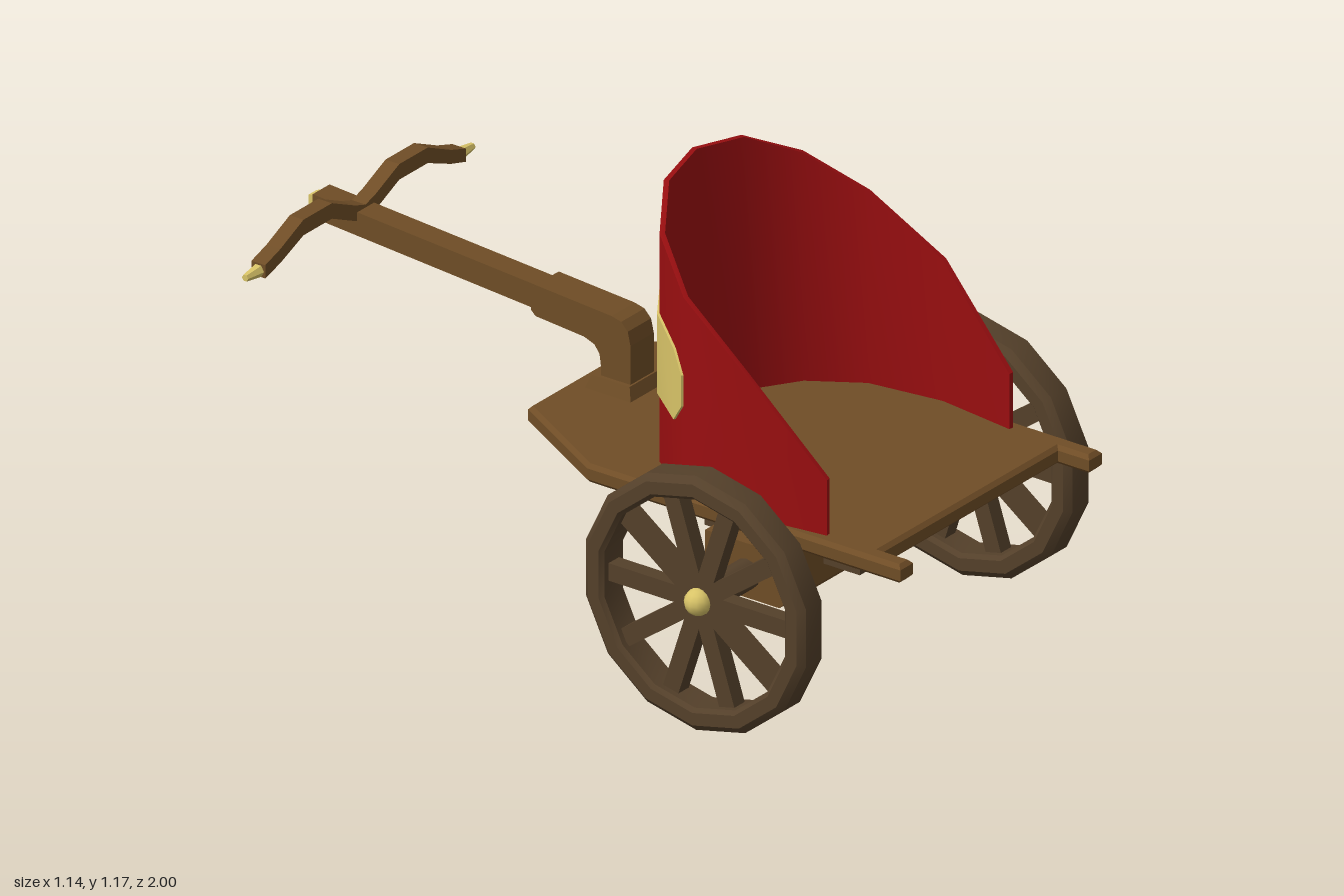
import * as THREE from 'three';
import { toCreasedNormals } from 'three/addons/utils/BufferGeometryUtils.js';

const material = (color) => new THREE.MeshStandardMaterial({ color });
const wood = material(0x6f4d26);
const darkWood = material(0x54402a);
const red = material(0x990e10);
const gold = material(0xd9c468);

function add(parent, name, geometry, mat, x = 0, y = 0, z = 0) {
  const mesh = new THREE.Mesh(geometry, mat);
  mesh.name = name;
  mesh.position.set(x, y, z);
  parent.add(mesh);
  return mesh;
}

const shapeOf = (points) => new THREE.Shape(points.map(([a, b]) => new THREE.Vector2(a, b)));

// Side profile of [z, y] points, extruded across x and centred
function sidePrism(points, width) {
  const g = new THREE.ExtrudeGeometry(shapeOf(points), { depth: width, bevelEnabled: false });
  return g.rotateY(-Math.PI / 2).translate(width / 2, 0, 0);
}

// Four-sided tapered block, standing along y
function taperedBlock(halfTop, halfBottom, height) {
  const g = new THREE.CylinderGeometry(halfTop * Math.SQRT2, halfBottom * Math.SQRT2, height, 4, 1);
  return toCreasedNormals(g.rotateY(Math.PI / 4), 0.5);
}

// Upright curved sheet; columns are [x, z, bottom, top] from the middle to the left end, mirrored
function curvedSheet(half, inner, outer) {
  const cols = [...half.slice(1).reverse().map(([x, ...rest]) => [-x, ...rest]), ...half];
  const n = cols.length;
  const positions = [];
  const index = [];
  cols.forEach(([x, z, bottom, top], i) => {
    const a = cols[Math.max(i - 1, 0)];
    const b = cols[Math.min(i + 1, n - 1)];
    const out = new THREE.Vector2(b[1] - a[1], a[0] - b[0]).normalize();
    for (const [d, y] of [[outer, bottom], [outer, top], [inner, top], [inner, bottom]]) {
      positions.push(x + out.x * d, y, z + out.y * d);
    }
  });
  const quad = (a, b, c, d) => index.push(a, b, c, a, c, d);
  for (let i = 0; i < n - 1; i++) {
    for (let k = 0; k < 4; k++) {
      const p = i * 4;
      const k2 = (k + 1) % 4;
      quad(p + k, p + k2, p + 4 + k2, p + 4 + k);
    }
  }
  quad(3, 2, 1, 0);
  const e = (n - 1) * 4;
  quad(e, e + 1, e + 2, e + 3);
  const g = new THREE.BufferGeometry();
  g.setAttribute('position', new THREE.Float32BufferAttribute(positions, 3));
  g.setIndex(index);
  return toCreasedNormals(g, 0.7);
}

function makeWheel(side) {
  const wheel = new THREE.Group();
  wheel.name = side > 0 ? 'leftWheel' : 'rightWheel';
  wheel.position.set(side * 0.515, 0.327, 0.52);

  // Rim with chamfered edges
  const profile = [
    [0.268, -0.035], [0.278, -0.045], [0.31, -0.045], [0.327, -0.03],
    [0.327, 0.03], [0.31, 0.045], [0.278, 0.045], [0.268, 0.035], [0.268, -0.035],
  ].map(([r, y]) => new THREE.Vector2(r, y));
  const rim = new THREE.LatheGeometry(profile, 14).rotateX(Math.PI / 14 * 7).rotateY(Math.PI / 2);
  add(wheel, 'rim', toCreasedNormals(rim, 0.6), darkWood);

  // Spokes
  for (let i = 0; i < 10; i++) {
    const spoke = new THREE.BoxGeometry(0.04, 0.26, 0.045).translate(0, 0.15, 0);
    add(wheel, 'spoke', spoke, darkWood).rotation.x = (i + 0.5) * Math.PI / 5;
  }

  // Hub cap
  add(wheel, 'hubCap', new THREE.SphereGeometry(0.034, 12, 8), gold, side * 0.022);
  return wheel;
}

export function createModel() {
  const chariot = new THREE.Group();
  chariot.name = 'chariot';

  // Floor with a tapered rear and two short prongs at the open end
  const halfFloor = [[0.215, -0.2], [0.38, 0.09], [0.38, 0.985], [0.35, 0.985], [0.35, 0.895]];
  const outline = [...halfFloor, ...halfFloor.map(([x, z]) => [-x, z]).reverse()];
  const floor = new THREE.ExtrudeGeometry(shapeOf(outline), {
    depth: 0.028, bevelThickness: 0.01, bevelSize: 0.01, bevelSegments: 1,
  });
  add(chariot, 'floor', floor.rotateX(Math.PI / 2), wood, 0, 0.488, 0);

  // Curved body wall
  const wall = [
    [0, 0.1, 0.49, 1.167], [0.15, 0.13, 0.49, 1.15], [0.277, 0.213, 0.49, 1.085],
    [0.36, 0.345, 0.49, 0.99], [0.388, 0.545, 0.49, 0.86], [0.36, 0.76, 0.49, 0.64],
  ];
  add(chariot, 'bodyWall', curvedSheet(wall, -0.013, 0), red);

  // Pale band around the outside of the wall
  const band = [
    [0, 0.1, 0.7, 0.935], [0.15, 0.13, 0.693, 0.92], [0.277, 0.213, 0.675, 0.88],
    [0.333, 0.302, 0.655, 0.838], [0.359, 0.344, 0.71, 0.79],
  ];
  add(chariot, 'wallBand', curvedSheet(band, -0.004, 0.006), gold);

  // Axle, beam and floor bearers
  const axle = new THREE.CylinderGeometry(0.038, 0.038, 1.07, 12).rotateZ(Math.PI / 2);
  add(chariot, 'axle', axle, darkWood, 0, 0.327, 0.52);
  const beam = [
    [0.4, 0.405], [0.4, 0.29], [0.425, 0.265], [0.615, 0.265], [0.64, 0.29], [0.64, 0.405],
  ];
  add(chariot, 'axleBeam', sidePrism(beam, 0.7), wood);
  add(chariot, 'beamBlock', new THREE.BoxGeometry(0.3, 0.07, 0.28), wood, 0, 0.39, 0.52);
  for (const x of [-0.177, 0, 0.177]) {
    add(chariot, 'floorBearer', new THREE.BoxGeometry(0.072, 0.125, 0.45), darkWood, x, 0.397, 0.52);
  }

  // Wheels
  for (const side of [1, -1]) chariot.add(makeWheel(side));

  // Draught pole with its bent socket
  add(chariot, 'poleBase', taperedBlock(0.055, 0.067, 0.035), wood, 0, 0.513, -0.095);
  const socket = [
    [-0.045, 0.52], [-0.045, 0.63], [-0.053, 0.665], [-0.072, 0.685], [-0.1, 0.692],
    [-0.32, 0.708], [-0.333, 0.698], [-0.333, 0.64], [-0.32, 0.628], [-0.18, 0.616],
    [-0.15, 0.605], [-0.135, 0.585], [-0.13, 0.55], [-0.13, 0.52],
  ];
  add(chariot, 'poleSocket', sidePrism(socket, 0.09), wood);
  const pole = [[-0.32, 0.7], [-0.32, 0.638], [-0.975, 0.687], [-0.975, 0.747]];
  add(chariot, 'pole', sidePrism(pole, 0.065), wood);
  const poleTip = taperedBlock(0.015, 0.025, 0.03).rotateX(-Math.PI / 2);
  add(chariot, 'poleTip', poleTip, gold, 0, 0.717, -0.985);

  // Yoke: two drooping arms with pointed ends
  const centre = [[0, 0.725, 0.02], [0.04, 0.738, 0.02], [0.13, 0.779, 0.02],
    [0.24, 0.779, 0.02], [0.33, 0.74, 0.018], [0.388, 0.722, 0.017]];
  const edge = (s) => [
    ...centre.slice(1).reverse().map(([x, y, h]) => [-x, y + s * h]),
    ...centre.map(([x, y, h]) => [x, y + s * h]),
  ];
  const yoke = new THREE.ExtrudeGeometry(shapeOf([...edge(-1), ...edge(1).reverse()]), {
    depth: 0.04, bevelEnabled: false,
  });
  add(chariot, 'yoke', yoke, wood, 0, 0, -0.886);
  for (const side of [1, -1]) {
    const tip = new THREE.CylinderGeometry(0.009, 0.017, 0.055, 6).rotateZ(-side * Math.PI / 2);
    add(chariot, 'yokeTip', toCreasedNormals(tip, 0.5), gold, side * 0.412, 0.72, -0.866);
  }

  return chariot;
}
